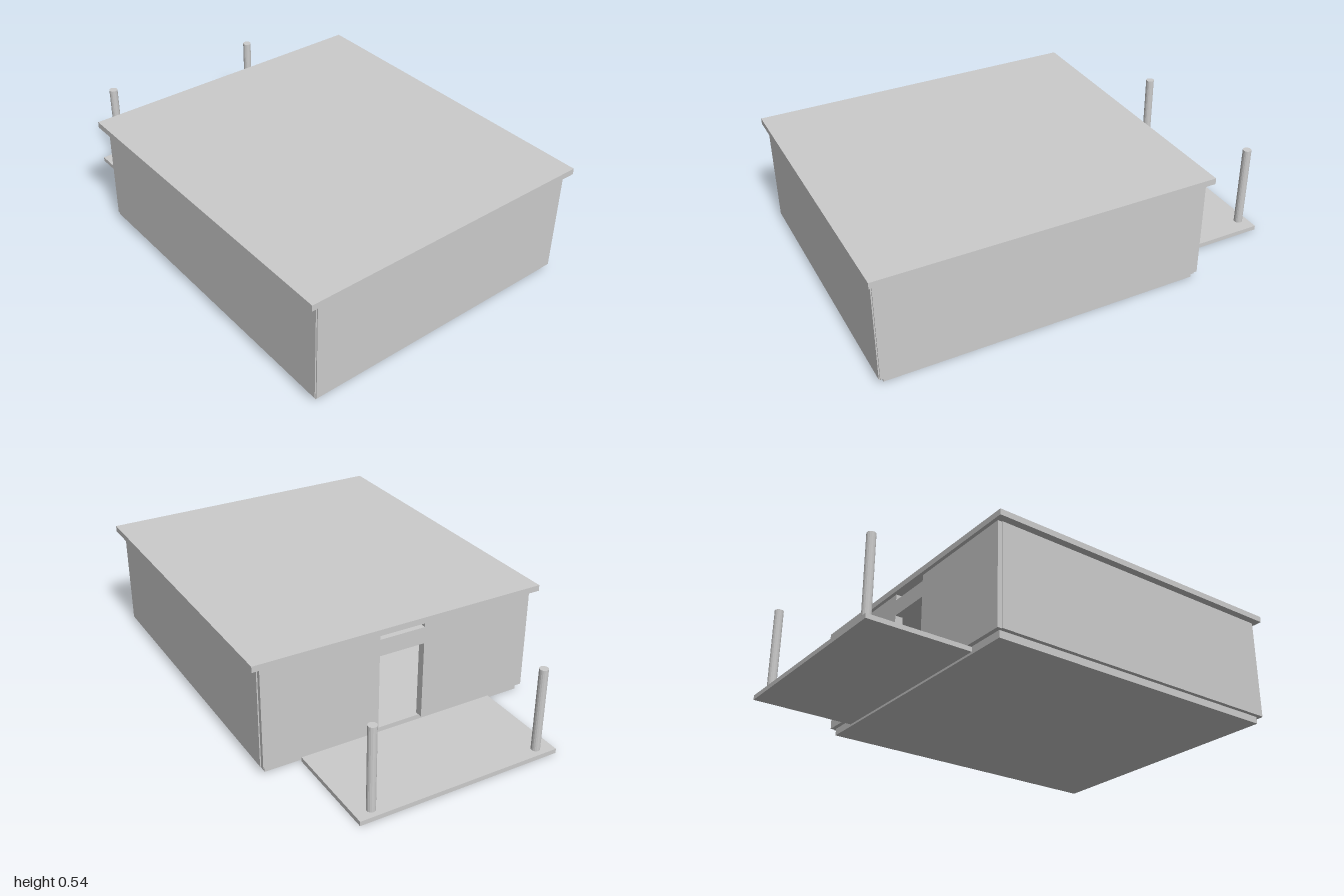
import * as THREE from 'three';

const material = new THREE.MeshStandardMaterial({ color: 0xcccccc, flatShading: true });

// Box given by its lower and upper limits on each axis
function block(name, [x0, x1], [y0, y1], [z0, z1]) {
  const mesh = new THREE.Mesh(new THREE.BoxGeometry(x1 - x0, y1 - y0, z1 - z0), material);
  mesh.name = name;
  mesh.position.set((x0 + x1) / 2, (y0 + y1) / 2, (z0 + z1) / 2);
  return mesh;
}

export function createModel() {
  const model = new THREE.Group();
  model.name = 'house';
  const wallY = [0.033, 0.512];
  const backZ = [-0.53, -0.492];

  // Foundation, roof slab and terrace
  model.add(
    block('foundation', [-0.645, 0.645], [0, 0.033], [-0.51, 0.96]),
    block('roof', [-0.7, 0.7], [0.512, 0.54], [-0.547, 1]),
    block('terrace', [-0.48, 0.48], [0, 0.021], [-1, -0.522]),
  );

  // Front wall, and an inner partition leaving a passage on one side
  model.add(
    block('frontWall', [-0.66, 0.66], wallY, [0.945, 0.983]),
    block('partition', [-0.627, 0.5], wallY, [0.1, 0.135]),
  );

  // Back wall around the doorway, with a narrow vent above the lintel
  model.add(block('lintel', [-0.11, 0.11], [0.405, 0.483], backZ));

  for (const side of [-1, 1]) {
    const span = (a, b) => (side > 0 ? [a, b] : [-b, -a]);
    const label = side > 0 ? 'left' : 'right';
    model.add(
      block(label + 'SideWall', span(0.627, 0.665), wallY, [-0.51, 0.978]),
      block(label + 'BackWall', span(0.11, 0.66), wallY, backZ),
    );

    // Round terrace post
    const post = new THREE.Mesh(new THREE.CylinderGeometry(0.02, 0.02, 0.395, 16), material);
    post.name = label + 'Post';
    post.position.set(side * 0.405, 0.2185, -0.956);
    model.add(post);
  }
  return model;
}
